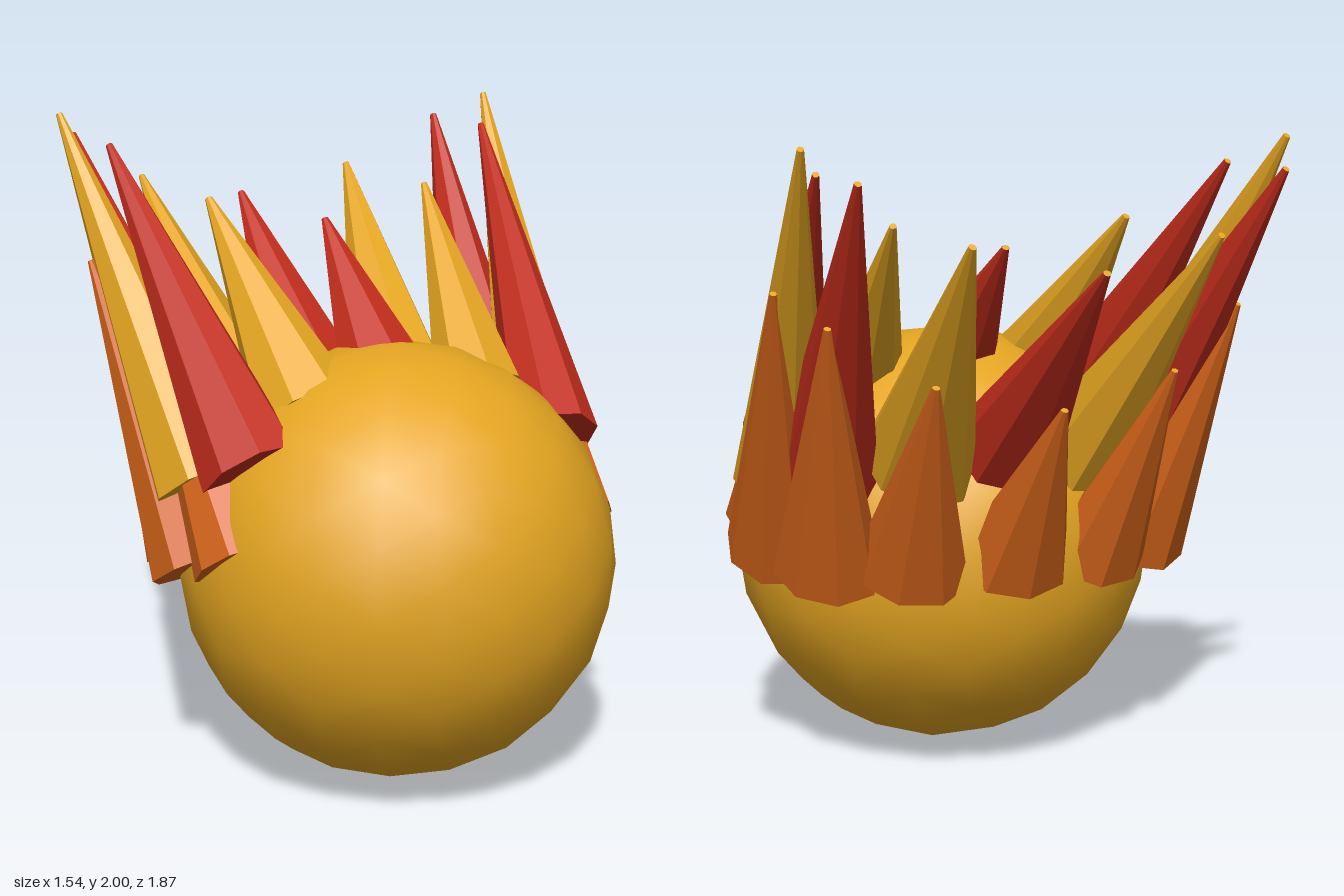
import * as THREE from 'three';

const gold = new THREE.MeshStandardMaterial({ color: 0xe4a521 });
const red = new THREE.MeshStandardMaterial({ color: 0xc22d1c });
const orange = new THREE.MeshStandardMaterial({ color: 0xd2631a });
gold.name = 'gold';
red.name = 'red';
orange.name = 'orange';

const HEAD = new THREE.Vector3(0, 0.677, 0.26);
const FLATTEN = 0.85; // spike thickness relative to its width

// Faceted, blunt-tipped spike, slightly flattened against the head
function spike(name, base, tip, radius, material) {
  const axis = tip.clone().sub(base);
  const geo = new THREE.CylinderGeometry(0.012, radius, axis.length(), 8).toNonIndexed();
  geo.scale(1, 1, FLATTEN);
  geo.computeVertexNormals();
  const mesh = new THREE.Mesh(geo, [material, gold, material]);
  mesh.name = name;
  mesh.position.copy(base).add(tip).multiplyScalar(0.5);
  axis.normalize();
  const across = axis.clone().cross(base.clone().sub(HEAD)).normalize();
  const outward = across.clone().cross(axis);
  mesh.quaternion.setFromRotationMatrix(new THREE.Matrix4().makeBasis(across, axis, outward));
  return mesh;
}

// Swept-back ring of spikes. Each row: angle from the front, base x, y, z, base radius.
// Rows off the centre line are mirrored to both sides.
function spikeRing(name, rows, tipY, tipZ, materialFor) {
  const ring = new THREE.Group();
  ring.name = name;
  for (const [deg, x, y, z, radius] of rows) {
    const a = THREE.MathUtils.degToRad(deg);
    const s = Math.sin(a);
    for (const side of x === 0 ? [1] : [1, -1]) {
      const base = new THREE.Vector3(side * x, y, z);
      const tip = new THREE.Vector3(side * 0.76 * s, tipY + 0.335 * s * s, tipZ + 0.34 * Math.cos(a));
      ring.add(spike(name + 'Spike', base, tip, radius, materialFor(deg)));
    }
  }
  return ring;
}

export function createModel() {
  const model = new THREE.Group();
  model.name = 'spikyHead';

  // Smooth round head
  const head = new THREE.Mesh(new THREE.IcosahedronGeometry(0.675, 3), gold);
  head.name = 'head';
  head.position.copy(HEAD);
  model.add(head);

  // Upper crown, alternating red and gold
  model.add(spikeRing('crown', [
    [0, 0, 1.24, 0.16, 0.145],
    [30, 0.295, 1.16, 0.25, 0.165],
    [60, 0.51, 1.02, 0.33, 0.17],
    [90, 0.59, 0.94, 0.14, 0.18],
    [120, 0.51, 0.97, -0.06, 0.185],
    [150, 0.275, 1.02, -0.22, 0.19],
    [180, 0, 1.04, -0.25, 0.185],
  ], 1.66, -0.59, (deg) => (deg % 60 === 0 ? red : gold)));

  // Lower orange fringe around the sides and back
  model.add(spikeRing('fringe', [
    [60, 0.58, 0.76, 0.36, 0.145],
    [90, 0.61, 0.7, 0.15, 0.18],
    [120, 0.53, 0.68, -0.11, 0.18],
    [150, 0.31, 0.69, -0.25, 0.18],
    [180, 0, 0.7, -0.31, 0.18],
  ], 1.235, -0.33, () => orange));

  return model;
}
